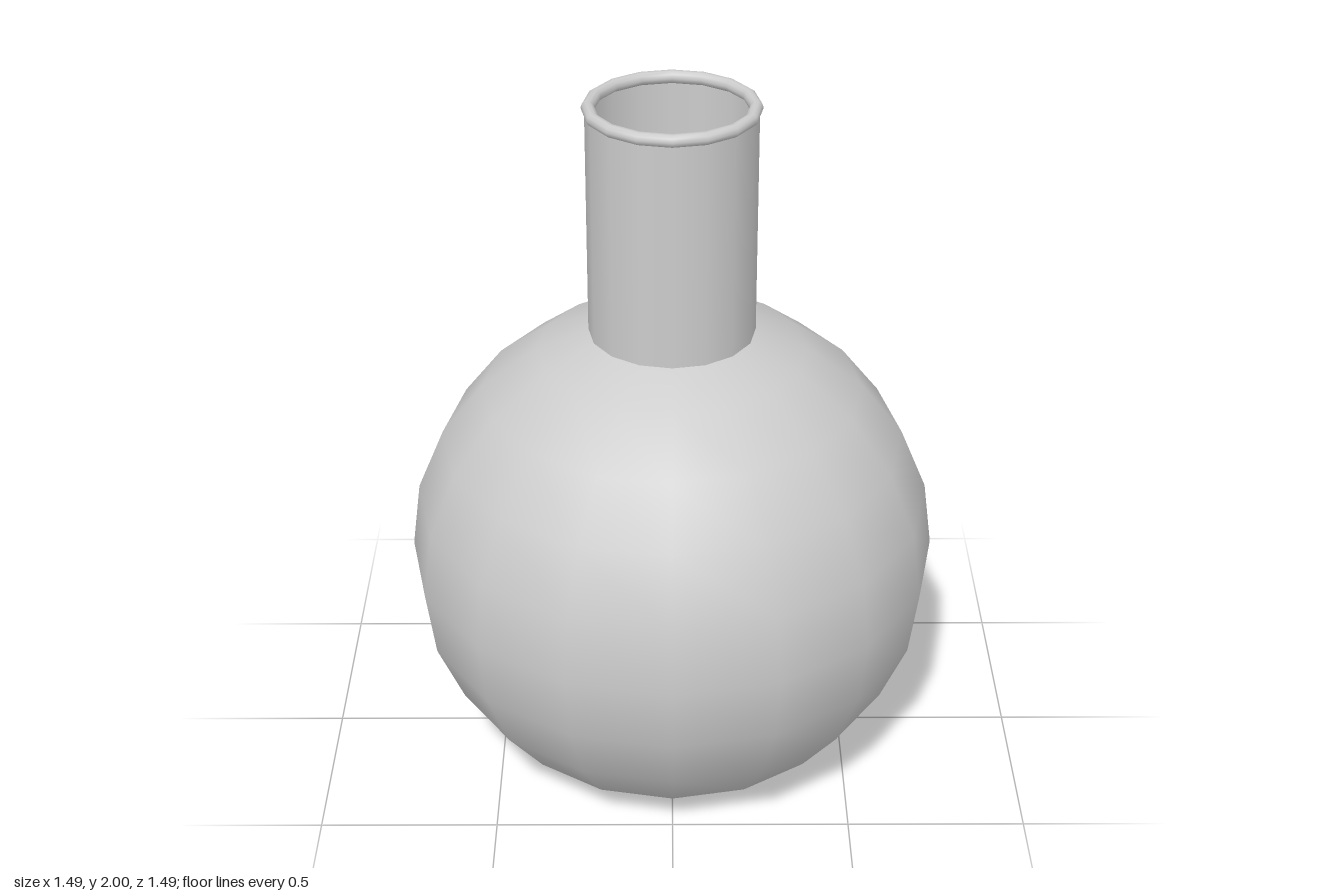
import * as THREE from 'three';

const SIDES = 16;

export function createModel() {
  const group = new THREE.Group();
  const material = new THREE.MeshStandardMaterial({ color: 0xcccccc, side: THREE.DoubleSide });
  const add = (name, geometry) => {
    const mesh = new THREE.Mesh(geometry, material);
    mesh.name = name;
    group.add(mesh);
    return mesh;
  };

  const neckRadius = 0.23, shoulder = 1.333;

  // Round hollow bulb, cut flat below and open where the neck joins
  const profile = [];
  for (let deg = -60; deg <= 60; deg += 15) {
    const a = THREE.MathUtils.degToRad(deg);
    profile.push(new THREE.Vector2(0.747 * Math.cos(a), 0.637 + 0.735 * Math.sin(a)));
  }
  profile[0].y = 0;
  profile.push(new THREE.Vector2(neckRadius, shoulder));
  add('bulb', new THREE.LatheGeometry(profile, SIDES));

  // Flat base
  const base = new THREE.CircleGeometry(profile[0].x, SIDES);
  base.rotateX(Math.PI / 2);
  add('base', base);

  // Straight open neck
  const top = 1.982;
  const neck = new THREE.CylinderGeometry(neckRadius, neckRadius, top - shoulder, SIDES, 1, true);
  neck.translate(0, (top + shoulder) / 2, 0);
  add('neck', neck);

  // Rolled rim around the mouth
  const rim = new THREE.TorusGeometry(0.221, 0.018, 10, SIDES);
  rim.rotateX(Math.PI / 2);
  rim.translate(0, top, 0);
  add('rim', rim);

  return group;
}
